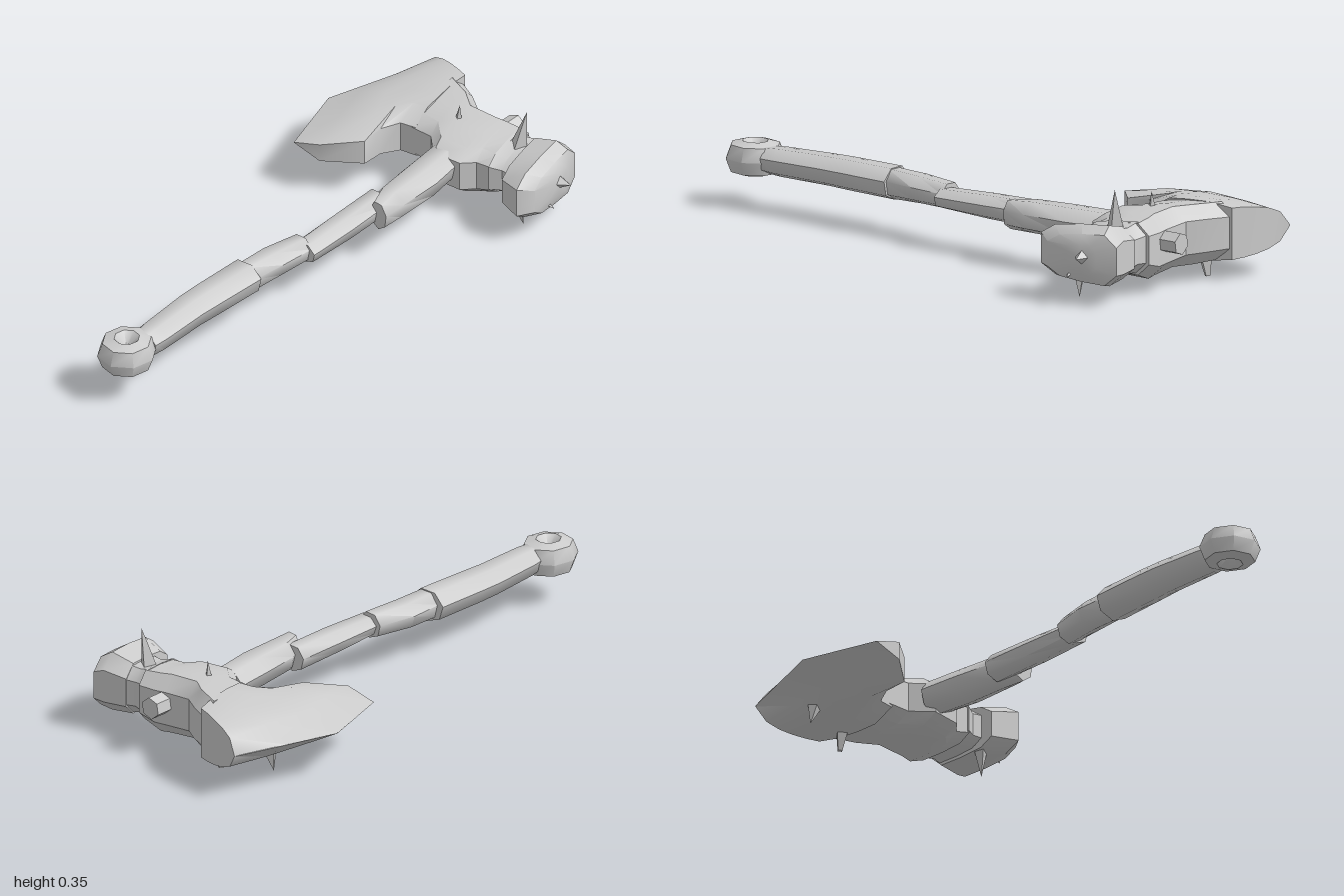
import * as THREE from 'three';
import { toCreasedNormals } from 'three/addons/utils/BufferGeometryUtils.js';

const Y = 0.155; // height of the axe's middle plane

// Skin a list of equal-length rings of Vector3 and close both ends.
function loft(rings, crease = 0.6) {
  const n = rings[0].length, tris = [];
  for (let i = 0; i + 1 < rings.length; i++) {
    for (let j = 0; j < n; j++) {
      const k = (j + 1) % n, a = rings[i][j], b = rings[i][k], c = rings[i + 1][k], d = rings[i + 1][j];
      tris.push([a, b, c], [a, c, d]);
    }
  }
  const centre = r => r.reduce((s, p) => s.add(p), new THREE.Vector3()).divideScalar(n);
  const last = rings[rings.length - 1], c0 = centre(rings[0]), c1 = centre(last);
  for (let j = 0; j < n; j++) {
    const k = (j + 1) % n;
    tris.push([c0, rings[0][k], rings[0][j]], [c1, last[j], last[k]]);
  }
  // turn the skin outwards if the rings ran the other way
  const volume = tris.reduce((s, [a, b, c]) => s + a.dot(b.clone().cross(c)), 0);
  if (volume < 0) tris.forEach(t => t.reverse());
  const geo = new THREE.BufferGeometry().setFromPoints(tris.flat());
  return toCreasedNormals(geo, crease);
}

// Handle ring across z: centre x, z, half width, half height; skew tilts the cut.
function handleRing([x, z, rx, ry, skew = 0, y = 0.162]) {
  return Array.from({ length: 7 }, (_, i) => {
    const a = (i + 0.3) / 7 * Math.PI * 2;
    return new THREE.Vector3(x + rx * Math.cos(a), y + ry * Math.sin(a), z + skew * Math.cos(a));
  });
}

// Head ring across x, slimmer towards the handle: x, back z, front z, bottom y, top y.
function headRing([x, z0, z1, y0, y1]) {
  const cz = (z0 + z1) / 2, cy = (y0 + y1) / 2, hz = (z1 - z0) / 2, hy = (y1 - y0) / 2;
  const half = [[1, 0.5], [0.65, 0.82], [0, 0.95], [-0.65, 1], [-1, 0.55]];
  return [...half, ...half.map(([u, v]) => [u, -v]).reverse()]
    .map(([u, v]) => new THREE.Vector3(x, cy + v * hy, cz + u * hz));
}

// Blade section: back, middle and front points (x, z) with a half thickness.
function bladeRing([bx, bz, mx, mz, fx, fz, h]) {
  const path = [[bx, bz], [(bx + mx) / 2, (bz + mz) / 2], [mx, mz], [(fx + mx) / 2, (fz + mz) / 2], [fx, fz]];
  const thick = [0.88, 1, 1, 0.95, 0.55];
  const side = s => path.map(([x, z], i) => new THREE.Vector3(x, Y + s * h * thick[i], z));
  return [...side(1), ...side(-1).reverse()];
}

export function createModel() {
  const group = new THREE.Group();
  const stone = new THREE.MeshStandardMaterial({ color: 0xcccccc });
  stone.name = 'stone grey';
  const add = (name, geo) => {
    const mesh = new THREE.Mesh(geo, stone);
    mesh.name = name;
    group.add(mesh);
    return mesh;
  };

  // Blade, thick at the neck and sharp along the outer edge
  add('blade', loft([
    [-0.09, -0.895, -0.09, -0.74, -0.095, -0.6, 0.095],
    [-0.13, -0.917, -0.14, -0.74, -0.15, -0.6, 0.093],
    [-0.17, -0.94, -0.19, -0.73, -0.19, -0.545, 0.086],
    [-0.21, -0.96, -0.26, -0.7, -0.2, -0.465, 0.076],
    [-0.25, -0.98, -0.35, -0.68, -0.32, -0.39, 0.055],
    [-0.28, -1.0, -0.455, -0.67, -0.42, -0.4, 0.001],
  ].map(bladeRing), 0.7));

  // Head from the blade's neck to the flared hammer face
  add('head', loft([
    [-0.11, -0.9, -0.6, 0.066, 0.25], [-0.03, -0.84, -0.585, 0.06, 0.253],
    [0.02, -0.79, -0.515, 0.055, 0.25], [0.12, -0.775, -0.51, 0.048, 0.247],
    [0.16, -0.77, -0.545, 0.046, 0.243], [0.22, -0.765, -0.54, 0.07, 0.238],
  ].map(headRing)));
  add('hammerNeck', loft([
    [0.21, -0.76, -0.535, 0.075, 0.24], [0.25, -0.74, -0.55, 0.08, 0.228], [0.3, -0.745, -0.535, 0.075, 0.235],
  ].map(headRing)));
  add('hammerFace', loft([
    [0.28, -0.745, -0.5, 0.068, 0.238], [0.36, -0.75, -0.455, 0.062, 0.258],
    [0.4, -0.745, -0.5, 0.072, 0.235], [0.415, -0.68, -0.57, 0.11, 0.2],
  ].map(headRing)));

  // Overlapping sleeves of the handle, from the head down
  const sleeves = [
    [[0.04, -0.54, 0.064, 0.055, 0], [0.035, -0.4, 0.068, 0.057, 0], [0.02, -0.25, 0.057, 0.055, 0.01], [0.025, -0.17, 0.036, 0.05, 0.01]],
    [[-0.02, -0.24, 0.047, 0.045, 0.01, 0.158], [-0.045, -0.06, 0.05, 0.042, 0.01, 0.158], [-0.073, 0.12, 0.047, 0.034, 0.012, 0.158]],
    [[-0.09, 0.105, 0.045, 0.044, 0.01], [-0.13, 0.23, 0.055, 0.048, 0.01], [-0.155, 0.35, 0.047, 0.052, 0.01]],
    [[-0.158, 0.335, 0.066, 0.055, 0.01], [-0.195, 0.52, 0.064, 0.054, 0.01], [-0.21, 0.6, 0.062, 0.052, 0.01],
      [-0.23, 0.78, 0.057, 0.049, 0.005], [-0.235, 0.83, 0.05, 0.045, 0.005]],
  ];
  sleeves.forEach((s, i) => add('handleSleeve' + (i + 1), loft(s.map(handleRing), 0.95)));

  // Pommel ring with a narrow hole
  const ring = new THREE.TorusGeometry(0.053, 0.046, 7, 8).rotateX(Math.PI / 2).scale(0.95, 1.22, 1);
  add('pommelRing', toCreasedNormals(ring, 0.8)).position.set(-0.26, Y + 0.003, 0.89);

  // Thorns: base point, tip point, base radius, tip radius
  const thorns = [
    [[0.245, 0.21, -0.66], [0.27, 0.35, -0.67], 0.032, 0],
    [[0.02, 0.23, -0.67], [0.025, 0.293, -0.67], 0.014, 0],
    [[-0.265, 0.11, -0.77], [-0.285, 0.027, -0.775], 0.03, 0],
    [[-0.105, 0.08, -0.79], [-0.105, 0.006, -0.8], 0.026, 0.01],
    [[0.3, 0.1, -0.56], [0.317, 0.002, -0.57], 0.026, 0],
    [[0.4, 0.16, -0.63], [0.455, 0.16, -0.63], 0.03, 0],
    [[0.37, 0.11, -0.58], [0.425, 0.09, -0.58], 0.018, 0],
    [[0.12, 0.165, -0.74], [0.135, 0.165, -0.835], 0.036, 0.036],
  ];
  const up = new THREE.Vector3(0, 1, 0);
  thorns.forEach(([from, to, r0, r1], i) => {
    const a = new THREE.Vector3(...from), b = new THREE.Vector3(...to);
    const geo = new THREE.CylinderGeometry(r1, r0, a.distanceTo(b), r1 === r0 ? 6 : 4);
    const mesh = add(r1 === r0 ? 'backPeg' : 'thorn' + (i + 1), toCreasedNormals(geo, 0.6));
    mesh.position.copy(a).lerp(b, 0.5);
    mesh.quaternion.setFromUnitVectors(up, b.sub(a).normalize());
  });
  return group;
}
